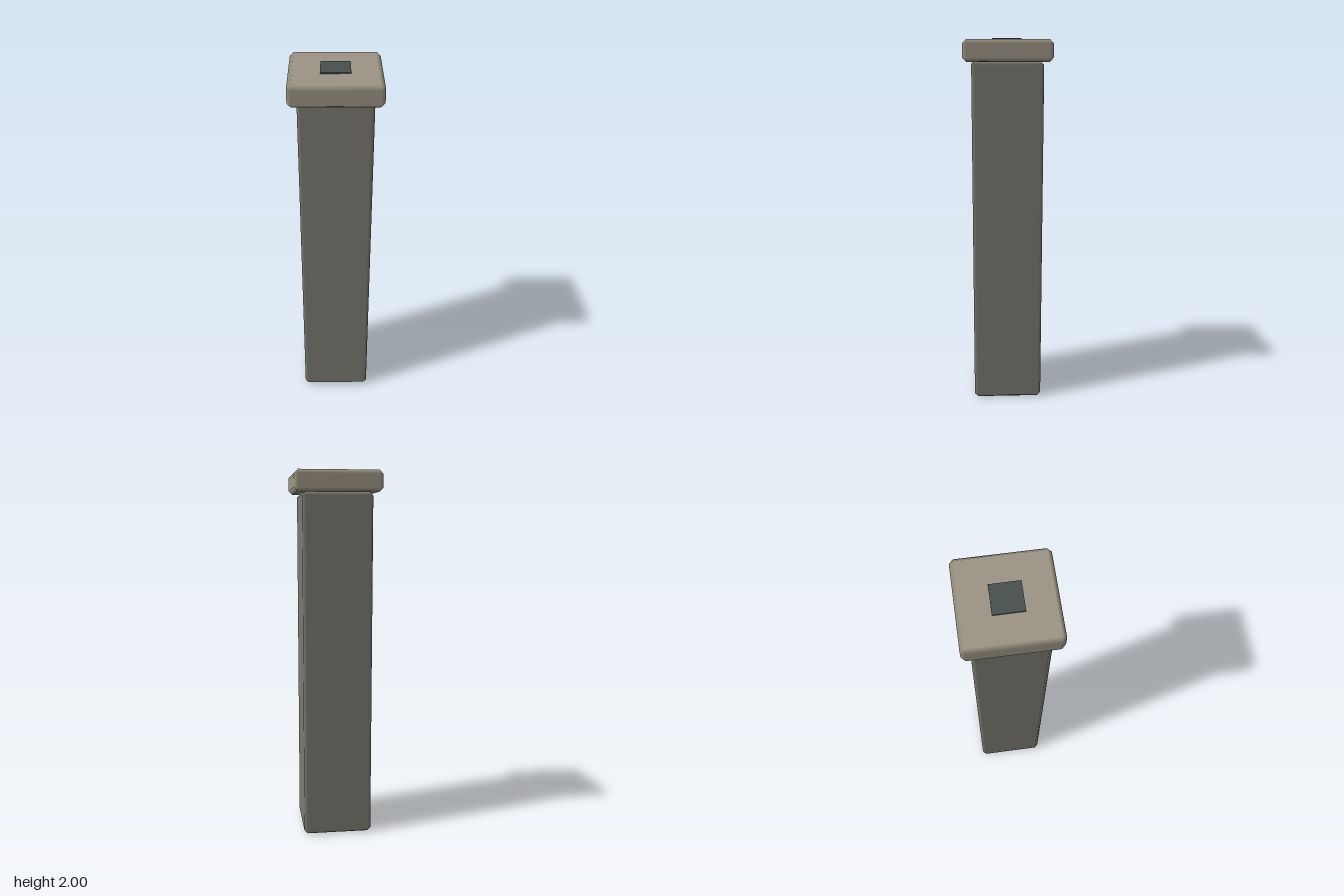
import * as THREE from 'three';
import { ConvexGeometry } from 'three/addons/geometries/ConvexGeometry.js';

// Box with one chamfer per edge; face normals are kept flat and blend across the chamfers
function bevelBox(width, height, depth, bevel) {
  const half = [width / 2, height / 2, depth / 2];
  const points = [];
  for (let axis = 0; axis < 3; axis++) {
    for (const x of [-1, 1]) for (const y of [-1, 1]) for (const z of [-1, 1]) {
      const p = [x, y, z].map((s, i) => s * (half[i] - (i === axis ? 0 : bevel)));
      points.push(new THREE.Vector3(...p));
    }
  }
  const geometry = new ConvexGeometry(points);
  const pos = geometry.attributes.position;
  const normal = geometry.attributes.normal;
  for (let i = 0; i < pos.count; i++) {
    const p = [pos.getX(i), pos.getY(i), pos.getZ(i)];
    // each corner point touches exactly one full-size face
    normal.setXYZ(i, ...p.map((v, k) => (half[k] - Math.abs(v) < bevel / 2 ? Math.sign(v) : 0)));
  }
  return geometry;
}

function part(name, geometry, color, y) {
  const mesh = new THREE.Mesh(geometry, new THREE.MeshStandardMaterial({ color }));
  mesh.name = name;
  mesh.position.y = y;
  return mesh;
}

export function createModel() {
  const group = new THREE.Group();
  group.name = 'post';

  // tall square shaft, its top meeting the underside of the cap
  group.add(part('shaft', bevelBox(0.376, 1.884, 0.376, 0.019), 0x7b7a72, 0.942));

  // wider slab on top
  group.add(part('cap', bevelBox(0.466, 0.112, 0.466, 0.021), 0x9d9686, 1.938));

  // small dark plate set into the cap, standing slightly proud
  group.add(part('topPlate', new THREE.BoxGeometry(0.15, 0.02, 0.15), 0x495150, 1.99));

  return group;
}
